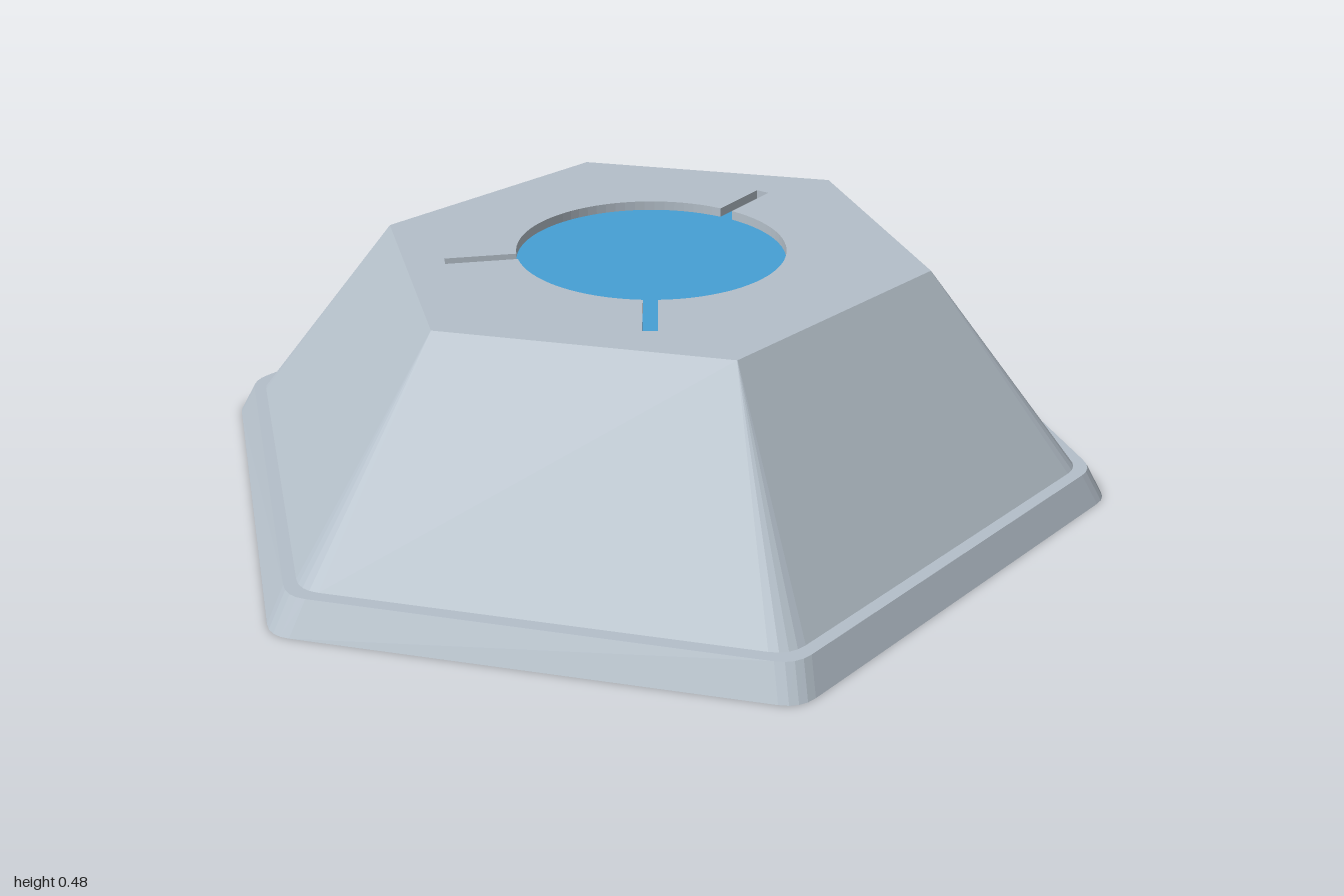
import * as THREE from 'three';

const grey = new THREE.MeshStandardMaterial({ color: 0xb4bfc9 });
grey.name = 'satin grey';
const blue = new THREE.MeshStandardMaterial({ color: 0x469fd4 });
blue.name = 'clear blue';

const BASE_TOP = 0.065, TOP = 0.477, RECESS = 0.02;

// Hexagon outline, counter-clockwise, with each corner rounded over a length cut
function hexagon(corner, apothem, cut, steps = 4) {
  const corners = [[1, 0], [0.5, 1], [-0.5, 1], [-1, 0], [-0.5, -1], [0.5, -1]]
    .map(([x, y]) => new THREE.Vector2(x * corner, y * apothem));
  const points = [];
  corners.forEach((p, i) => {
    const toward = (q) => q.clone().sub(p).setLength(cut).add(p);
    const curve = new THREE.QuadraticBezierCurve(
      toward(corners[(i + 5) % 6]), p, toward(corners[(i + 1) % 6]));
    points.push(...curve.getPoints(steps));
  });
  return points;
}

// Round window with three radial slots, counter-clockwise
function windowOutline() {
  const radius = 0.283, tip = 0.432, half = 0.015;
  const slots = [7.8, 144.5, 223.5].map(THREE.MathUtils.degToRad);
  const spread = Math.asin(half / radius);
  const points = [];
  slots.forEach((angle, i) => {
    const dir = new THREE.Vector2(Math.cos(angle), Math.sin(angle));
    const side = new THREE.Vector2(-dir.y, dir.x);
    for (const s of [-half, half]) {
      points.push(dir.clone().multiplyScalar(tip).addScaledVector(side, s));
    }
    const start = angle + spread;
    const end = (i < 2 ? slots[i + 1] : slots[0] + Math.PI * 2) - spread;
    const steps = Math.ceil((end - start) / 0.08);
    for (let k = 0; k <= steps; k++) {
      const a = start + (end - start) * k / steps;
      points.push(new THREE.Vector2(Math.cos(a) * radius, Math.sin(a) * radius));
    }
  });
  return points;
}

// Wall between two outlines with the same number of points
function wall(from, y0, to, y1) {
  const pos = [];
  const n = from.length;
  for (let i = 0; i < n; i++) {
    const j = (i + 1) % n;
    const a = [from[i].x, y0, -from[i].y], b = [from[j].x, y0, -from[j].y];
    const c = [to[j].x, y1, -to[j].y], d = [to[i].x, y1, -to[i].y];
    pos.push(...a, ...b, ...c, ...a, ...c, ...d);
  }
  const geometry = new THREE.BufferGeometry();
  geometry.setAttribute('position', new THREE.Float32BufferAttribute(pos, 3));
  geometry.computeVertexNormals();
  return geometry;
}

// Flat face facing up (or down), with an optional hole
function cap(outline, y, hole, down = false) {
  const shape = new THREE.Shape(outline);
  if (hole) shape.holes.push(new THREE.Path(hole));
  const geometry = new THREE.ShapeGeometry(shape);
  geometry.rotateX(down ? Math.PI / 2 : -Math.PI / 2);
  return geometry.translate(0, y, 0);
}

export function createModel() {
  const group = new THREE.Group();
  const add = (name, geometry, material) => {
    const mesh = new THREE.Mesh(geometry, material);
    mesh.name = name;
    group.add(mesh);
  };

  const foot = hexagon(1.01, 0.84, 0.04);
  const ledge = hexagon(0.967, 0.81, 0.04);
  const bodyBottom = hexagon(0.938, 0.785, 0.04);
  const bodyTop = hexagon(0.595, 0.5, 0.001);
  const opening = windowOutline();

  // Base flange
  add('baseUnderside', cap(foot, 0, null, true), grey);
  add('baseRim', wall(foot, 0, ledge, BASE_TOP), grey);
  add('baseLedge', cap(ledge, BASE_TOP), grey);

  // Sloping body
  add('bodySides', wall(bodyBottom, BASE_TOP, bodyTop, TOP), grey);
  add('bodyTop', cap(hexagon(0.595, 0.5, 0.001), TOP, opening), grey);

  // Recessed window
  add('windowWall', wall(opening, TOP, opening, TOP - RECESS), grey);
  add('windowFloor', cap(opening, TOP - RECESS), blue);

  return group;
}
